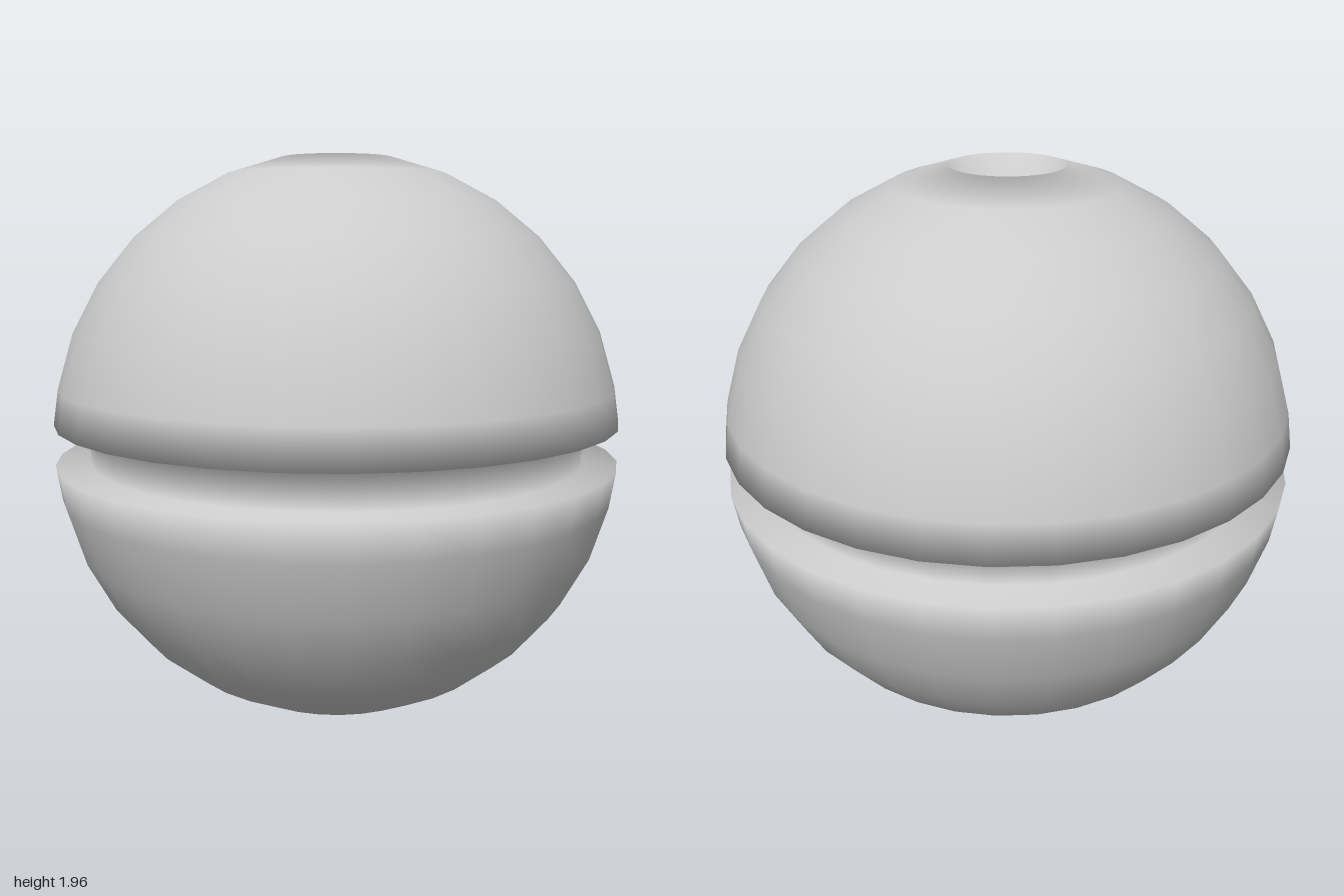
import * as THREE from 'three';
import { mergeVertices } from 'three/addons/utils/BufferGeometryUtils.js';

const SIDES = 32;
const STEP = Math.PI / 16;
const CENTRE = 0.98;
const GROOVE_HALF = 0.07, GROOVE_RADIUS = 0.88;
const HOLE_DEPTH = 0.22;

// Upper half profile from the groove to the bottom of the pole hole, as [radius, height above centre]
function halfProfile() {
  const pts = [[GROOVE_RADIUS, GROOVE_HALF], [1, GROOVE_HALF]];
  for (let i = 1; i <= 7; i++) pts.push([Math.cos(i * STEP), Math.sin(i * STEP)]);
  const [rim, top] = pts[pts.length - 1];
  pts.push([rim, top - HOLE_DEPTH], [0, top - HOLE_DEPTH]);
  return pts;
}

export function createModel() {
  const group = new THREE.Group();
  group.name = 'groovedBall';

  // Mirror the half profile so it runs from the lower hole to the upper hole
  const upper = halfProfile();
  const lower = upper.map(([r, y]) => [r, -y]).reverse();
  const profile = [...lower, ...upper].map(([r, y]) => new THREE.Vector2(r, y + CENTRE));

  // Weld the lathe and share normals, so rims, groove and holes shade softly into each other
  let geometry = new THREE.LatheGeometry(profile, SIDES);
  geometry.deleteAttribute('normal');
  geometry.deleteAttribute('uv');
  geometry = mergeVertices(geometry);
  geometry.computeVertexNormals();

  const ball = new THREE.Mesh(geometry, new THREE.MeshStandardMaterial({ color: 0xcccccc }));
  ball.name = 'ballShell';
  group.add(ball);
  return group;
}
